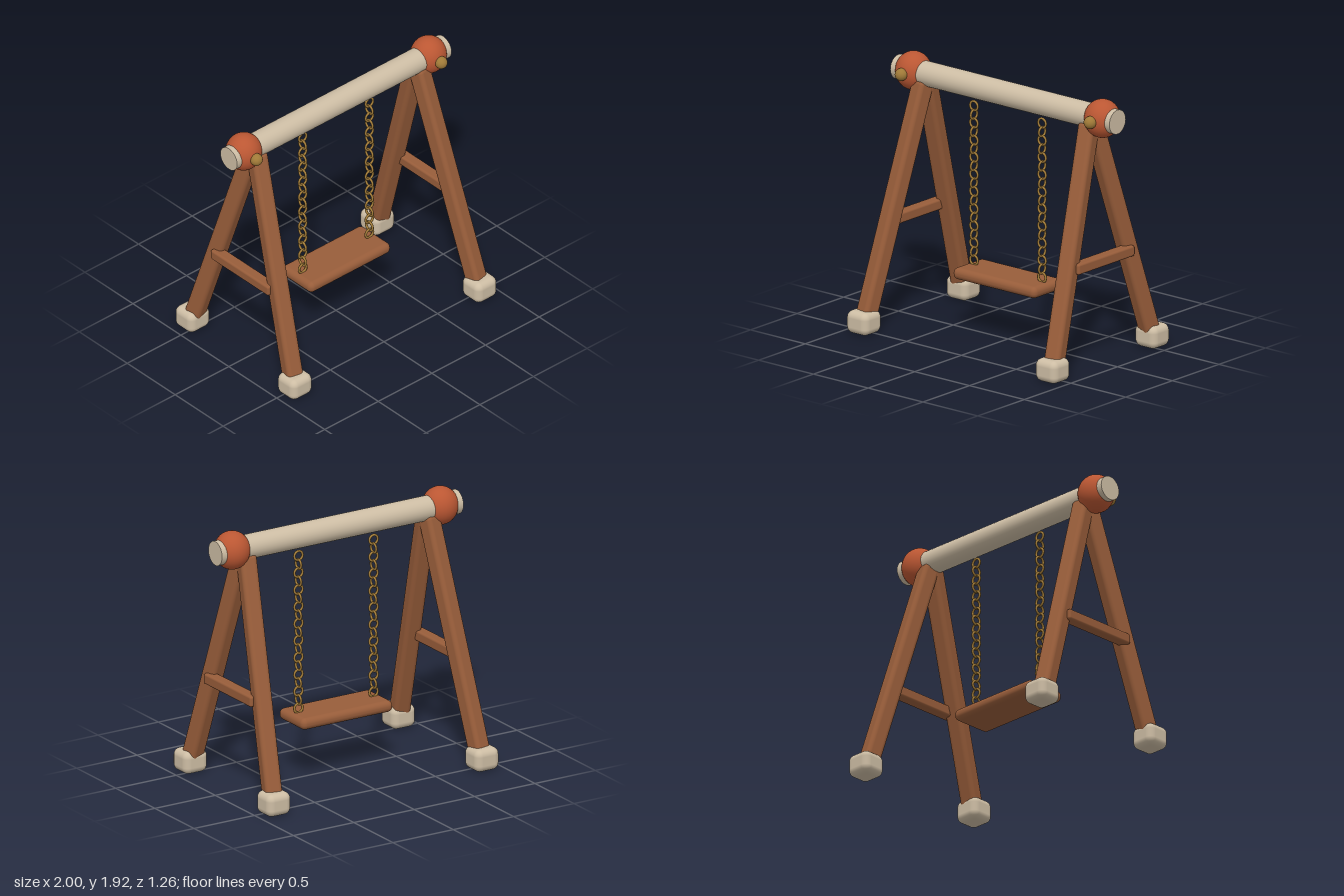
import * as THREE from 'three';
import { RoundedBoxGeometry } from 'three/addons/geometries/RoundedBoxGeometry.js';

const flat = (name, color) => {
  const m = new THREE.MeshStandardMaterial({ color });
  m.name = name;
  return m;
};

export function createModel() {
  const cream = flat('cream', 0xcdbda4);
  const wood = flat('wood', 0x985d3a);
  const rust = flat('rust', 0xbb5733);
  const brass = flat('brass', 0xa07a38);

  const swing = new THREE.Group();
  swing.name = 'swingSet';

  const add = (name, geometry, material, x, y, z) => {
    const mesh = new THREE.Mesh(geometry, material);
    mesh.name = name;
    mesh.position.set(x, y, z);
    swing.add(mesh);
    return mesh;
  };

  // Top beam
  const beamY = 1.783;
  add('beam', new THREE.CylinderGeometry(0.088, 0.088, 2, 28), cream, 0, beamY, 0).rotation.z = Math.PI / 2;

  // Shared shapes
  const jointGeo = new THREE.SphereGeometry(1, 28, 20).scale(0.13, 0.138, 0.128);
  const knobGeo = new THREE.SphereGeometry(0.045, 18, 12);
  const footGeo = new RoundedBoxGeometry(0.195, 0.165, 0.19, 4, 0.05);
  const braceGeo = new RoundedBoxGeometry(0.085, 0.078, 0.604, 3, 0.016);
  const linkGeo = new THREE.TorusGeometry(0.034, 0.009, 8, 18);

  for (const sx of [1, -1]) {
    const side = sx > 0 ? 'left' : 'right';

    // Ball joint with a knob on the front
    add(side + 'Joint', jointGeo, rust, sx * 0.862, beamY, 0);
    add(side + 'Knob', knobGeo, brass, sx * 0.862, beamY, 0.133);

    // Splayed legs on rounded feet
    for (const sz of [1, -1]) {
      const end = sz > 0 ? 'Front' : 'Back';
      const foot = new THREE.Vector3(sx * 0.86, 0.08, sz * 0.522);
      const top = new THREE.Vector3(sx * 0.757, 1.735, sz * 0.017);
      const mid = foot.clone().add(top).multiplyScalar(0.5);
      const legGeo = new RoundedBoxGeometry(0.125, 0.125, foot.distanceTo(top), 4, 0.032);
      add(side + end + 'Leg', legGeo, wood, mid.x, mid.y, mid.z).lookAt(top);
      add(side + end + 'Foot', footGeo, cream, sx * 0.862, 0.0825, sz * 0.534);
    }

    // Cross brace between the two legs
    add(side + 'Brace', braceGeo, wood, sx * 0.862, 0.755, 0);

    // Chain of links turned alternately
    for (let i = 0; i < 19; i++) {
      const link = add(side + 'ChainLink', linkGeo, brass, sx * 0.311, 0.512 + i * 0.0624, 0);
      if (i % 2) link.rotation.y = Math.PI / 2;
    }
  }

  // Seat board
  add('seat', new RoundedBoxGeometry(0.758, 0.085, 0.324, 5, 0.04), wood, 0, 0.439, 0);

  return swing;
}
